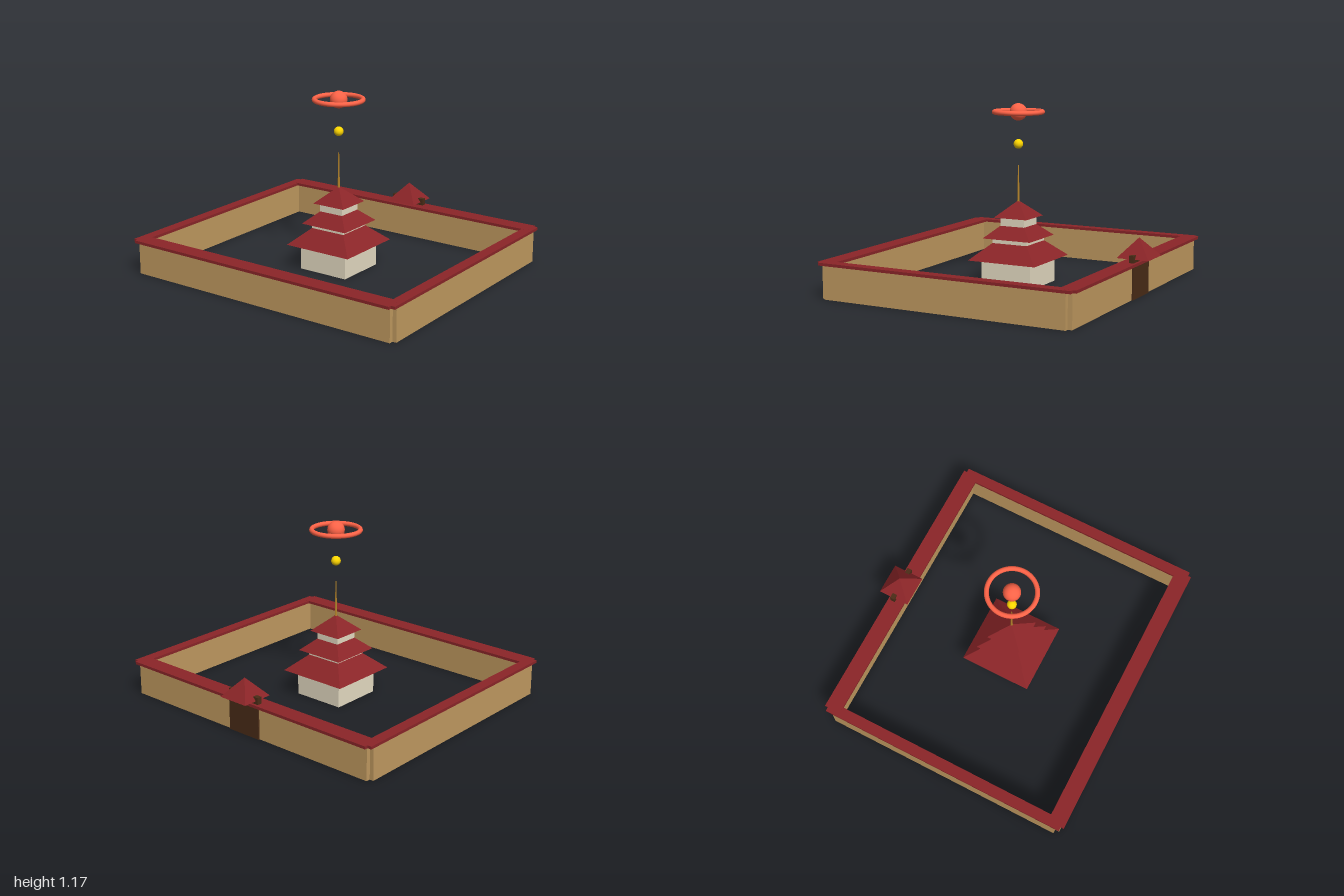
import * as THREE from 'three';

const mat = (color) => new THREE.MeshStandardMaterial({ color });

export function createModel() {
  const model = new THREE.Group();
  const wallMat = mat(0xc19a60), roofMat = mat(0x8b2528), bodyMat = mat(0xe6dcc3);
  const woodMat = mat(0x4a2c17), goldMat = mat(0xb8862b), ballMat = mat(0xffd700), coralMat = mat(0xff6347);
  roofMat.flatShading = true;
  const cz = 0.036; // centre of the courtyard

  const add = (parent, name, geo, material, x, y, z) => {
    const mesh = new THREE.Mesh(geo, material);
    mesh.name = name;
    mesh.position.set(x, y, z);
    parent.add(mesh);
    return mesh;
  };
  // Box standing on y0
  const box = (parent, name, material, w, h, d, x, y0, z) =>
    add(parent, name, new THREE.BoxGeometry(w, h, d), material, x, y0 + h / 2, z);
  // Square pyramid with its base at y0
  const pyramid = (parent, name, half, h, x, y0, z) => {
    const geo = new THREE.ConeGeometry(half * Math.SQRT2, h, 4).rotateY(Math.PI / 4);
    return add(parent, name, geo, roofMat, x, y0 + h / 2, z);
  };

  // Courtyard walls with roofed copings
  const walls = new THREE.Group();
  walls.name = 'courtyardWalls';
  model.add(walls);
  for (const s of [-1, 1]) {
    const end = s > 0 ? 'front' : 'back', side = s > 0 ? 'left' : 'right';
    box(walls, end + 'Wall', wallMat, 1.926, 0.212, 0.056, 0, 0, cz + s * 0.824);
    box(walls, end + 'Coping', roofMat, 1.944, 0.018, 0.112, 0, 0.212, cz + s * 0.824);
    box(walls, side + 'Wall', wallMat, 0.05, 0.212, 1.648, s * 0.964, 0, cz);
    box(walls, side + 'Coping', roofMat, 0.072, 0.0178, 1.717, s * 0.964, 0.212, cz);
  }

  // Gate in the back wall
  const gate = new THREE.Group();
  gate.name = 'gate';
  model.add(gate);
  box(gate, 'gateDoor', woodMat, 0.245, 0.275, 0.032, 0, 0, -0.81);
  pyramid(gate, 'gateRoof', 0.106, 0.122, 0, 0.25, -0.81);

  // Three-tier pagoda
  const pagoda = new THREE.Group();
  pagoda.name = 'pagoda';
  pagoda.position.z = cz;
  model.add(pagoda);
  const tiers = [ // body bottom, roof base, body half, roof half, roof height
    [0, 0.168, 0.176, 0.241, 0.218],
    [0.24, 0.307, 0.124, 0.171, 0.155],
    [0.37, 0.439, 0.086, 0.118, 0.107],
  ];
  tiers.forEach(([y0, y1, body, roof, h], i) => {
    const n = i + 1;
    box(pagoda, 'tierBody' + n, bodyMat, body * 2, y1 - y0 - 0.005, body * 2, 0, y0, 0);
    box(pagoda, 'tierTrim' + n, goldMat, body * 2.05, 0.005, body * 2.05, 0, y1 - 0.0055, 0);
    pyramid(pagoda, 'tierRoof' + n, roof, h, 0, y1, 0);
  });

  // Spire and the floating ornaments above it
  add(pagoda, 'spire', new THREE.CylinderGeometry(0.003, 0.008, 0.245, 12), goldMat, 0, 0.653, 0);
  add(pagoda, 'goldBall', new THREE.SphereGeometry(0.031, 24, 16), ballMat, 0, 0.912, 0);
  add(pagoda, 'coralSphere', new THREE.SphereGeometry(0.056, 32, 20), coralMat, 0, 1.118, 0);
  add(pagoda, 'coralRing', new THREE.TorusGeometry(0.155, 0.0155, 14, 64).rotateX(Math.PI / 2), coralMat, 0, 1.118, 0);

  return model;
}
